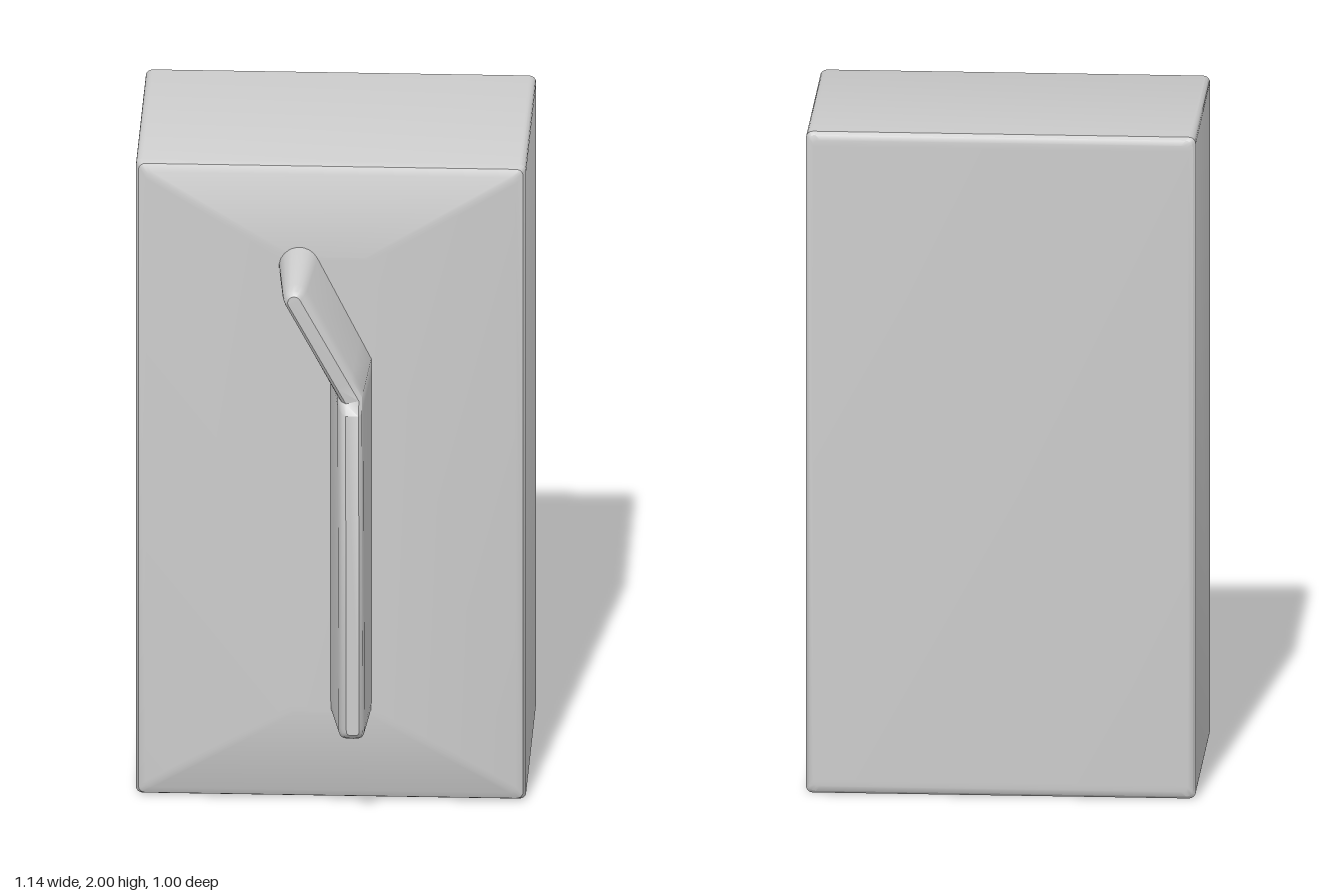
import * as THREE from 'three';
import { toCreasedNormals } from 'three/addons/utils/BufferGeometryUtils.js';

const material = new THREE.MeshStandardMaterial({ color: 0xcccccc });

// Skin over counter-clockwise rings ordered back to front. Point i of a ring
// mirrors point n-1-i, so both ends are closed with strips of quads.
function loft(name, rings, crease) {
  const n = rings[0].length;
  const index = [];
  const quad = (a, b, c, d) => index.push(a, b, c, a, c, d);
  for (let r = 0; r < rings.length - 1; r++) {
    for (let i = 0; i < n; i++) {
      const j = (i + 1) % n;
      quad(r * n + i, r * n + j, (r + 1) * n + j, (r + 1) * n + i);
    }
  }
  const last = (rings.length - 1) * n;
  for (let i = 0; i < n / 2 - 1; i++) {
    const k = n - 1 - i;
    quad(last + i, last + i + 1, last + k - 1, last + k);
    quad(k, k - 1, i + 1, i);
  }
  const geometry = new THREE.BufferGeometry();
  geometry.setAttribute('position', new THREE.Float32BufferAttribute(rings.flat(2), 3));
  geometry.setIndex(index);
  const mesh = new THREE.Mesh(toCreasedNormals(geometry, crease), material);
  mesh.name = name;
  return mesh;
}

// Rounded rectangle at depth z, starting at its lower right corner
function rectRing(cx, cy, halfW, halfH, radius, z) {
  const points = [];
  const corners = [[1, -1], [1, 1], [-1, 1], [-1, -1]];
  corners.forEach(([sx, sy], c) => {
    for (let k = 0; k <= 4; k++) {
      const a = (c - 1 + k / 4) * Math.PI / 2;
      points.push([
        cx + sx * (halfW - radius) + radius * Math.cos(a),
        cy + sy * (halfH - radius) + radius * Math.sin(a), z]);
    }
  });
  return points;
}

// Outline of the bent grip: rounded ends, mitred bend, crest dipping at the bend
function gripRing({ z, w, foot, bend, tip, dip }) {
  const P0 = new THREE.Vector2(...foot), P1 = new THREE.Vector2(...bend), P2 = new THREE.Vector2(...tip);
  const d0 = P1.clone().sub(P0).normalize(), d1 = P2.clone().sub(P1).normalize();
  const dm = d0.clone().add(d1).normalize();
  const half = [];
  const add = (p, d, along, out, depth = z) => half.push({ p, d, along, out, depth });
  const steps = 5;
  for (let k = 0; k <= steps; k++) {
    const a = (k + 0.2) / (steps + 0.2) * Math.PI / 2;
    add(P0, d0, -w * Math.pow(Math.abs(Math.cos(a)), 0.6), w * Math.pow(Math.sin(a), 0.6));
  }
  add(P1.clone().addScaledVector(d0, -0.035), d0, 0, w);
  add(P1, dm, 0, w / dm.dot(d0), z - dip);
  add(P1.clone().addScaledVector(d1, 0.06), d1, 0, w, z - dip * 0.8);
  for (let k = 0; k <= steps; k++) {
    const a = k / (steps + 0.2) * Math.PI / 2;
    add(P2, d1, w * Math.sin(a), w * Math.cos(a));
  }
  const place = (side) => ({ p, d, along, out, depth }) => [
    p.x + d.x * along + side * d.y * out,
    p.y + d.y * along - side * d.x * out, depth];
  return [...half.map(place(1)), ...half.map(place(-1)).reverse()];
}

export function createModel() {
  const group = new THREE.Group();

  // Box with softened edges and a front that rises gently towards the grip
  const shell = [
    [-0.5, 0.022], [-0.496, 0.008], [-0.485, 0],
    [0.2, 0], [0.218, 0.008], [0.23, 0.03],
  ].map(([z, inset]) => rectRing(0, 1, 0.57 - inset, 1 - inset, 0.02, z));
  shell.push(rectRing(0, 1, 0.12, 0.72, 0.02, 0.255));
  group.add(loft('body', shell, 0.6));

  // Tapered grip standing on the front
  const levels = [
    { z: 0.24, w: 0.061, foot: [0.06, 0.322], bend: [0.06, 1.39], tip: [-0.09, 1.69], dip: 0 },
    { z: 0.46, w: 0.038, foot: [0.071, 0.325], bend: [0.068, 1.37], tip: [-0.092, 1.68], dip: 0.015 },
    { z: 0.488, w: 0.03, foot: [0.074, 0.33], bend: [0.072, 1.36], tip: [-0.094, 1.677], dip: 0.02 },
    { z: 0.5, w: 0.019, foot: [0.076, 0.332], bend: [0.074, 1.355], tip: [-0.095, 1.675], dip: 0.022 },
  ];
  group.add(loft('grip', levels.map(gripRing), 0.6));

  return group;
}
